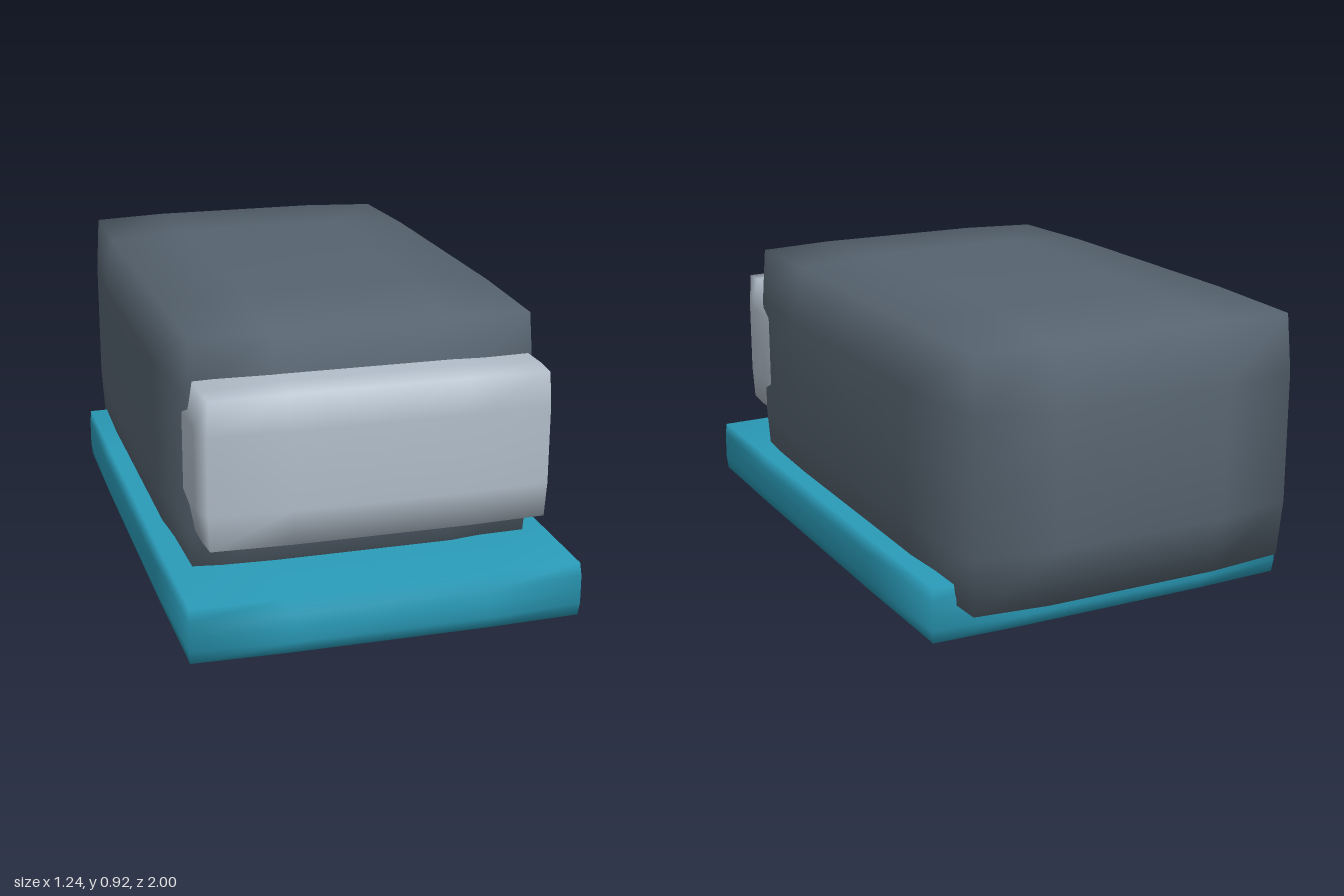
import * as THREE from 'three';
import { mergeVertices } from 'three/addons/utils/BufferGeometryUtils.js';

// Box with four cells per side whose edges and corners are drawn slightly inward,
// leaving a flat middle on every face and soft shading across the edges.
function softBox(name, color, min, max, pull) {
  const half = min.map((v, i) => (max[i] - v) / 2);
  const centre = min.map((v, i) => (max[i] + v) / 2);
  let geo = new THREE.BoxGeometry(2, 2, 2, 4, 4, 4);
  geo.deleteAttribute('uv');
  geo.deleteAttribute('normal');
  geo = mergeVertices(geo);
  const pos = geo.attributes.position;
  for (let i = 0; i < pos.count; i++) {
    const u = [pos.getX(i), pos.getY(i), pos.getZ(i)];
    const extremes = u.filter((c) => Math.abs(c) > 0.99).length;
    const amount = [0, 0, 1, 1.3][extremes]; // face, edge, corner
    const p = u.map((c, k) => {
      const inset = Math.abs(c) > 0.99 ? Math.sign(c) * pull[k] * amount : 0;
      return c * half[k] - inset;
    });
    pos.setXYZ(i, ...p);
  }
  geo.computeVertexNormals();
  const mesh = new THREE.Mesh(geo, new THREE.MeshStandardMaterial({ color }));
  mesh.name = name;
  mesh.position.set(...centre);
  return mesh;
}

export function createModel() {
  const group = new THREE.Group();
  group.name = 'blockOnBase';
  group.add(
    // Flat base slab
    softBox('base', 0x2a9bb8, [-0.62, 0, -0.855], [0.62, 0.183, 1], [0.012, 0.004, 0.022]),
    // Large main block, overhanging the base at the back
    softBox('body', 0x56636f, [-0.57, 0.09, -1], [0.57, 0.92, 0.74], [0.03, 0.021, 0.045]),
    // Pale panel set into the front of the block
    softBox('frontPanel', 0xb0bcc8, [-0.545, 0.29, 0.49], [0.545, 0.777, 0.89], [0.02, 0.011, 0.01])
  );
  return group;
}
